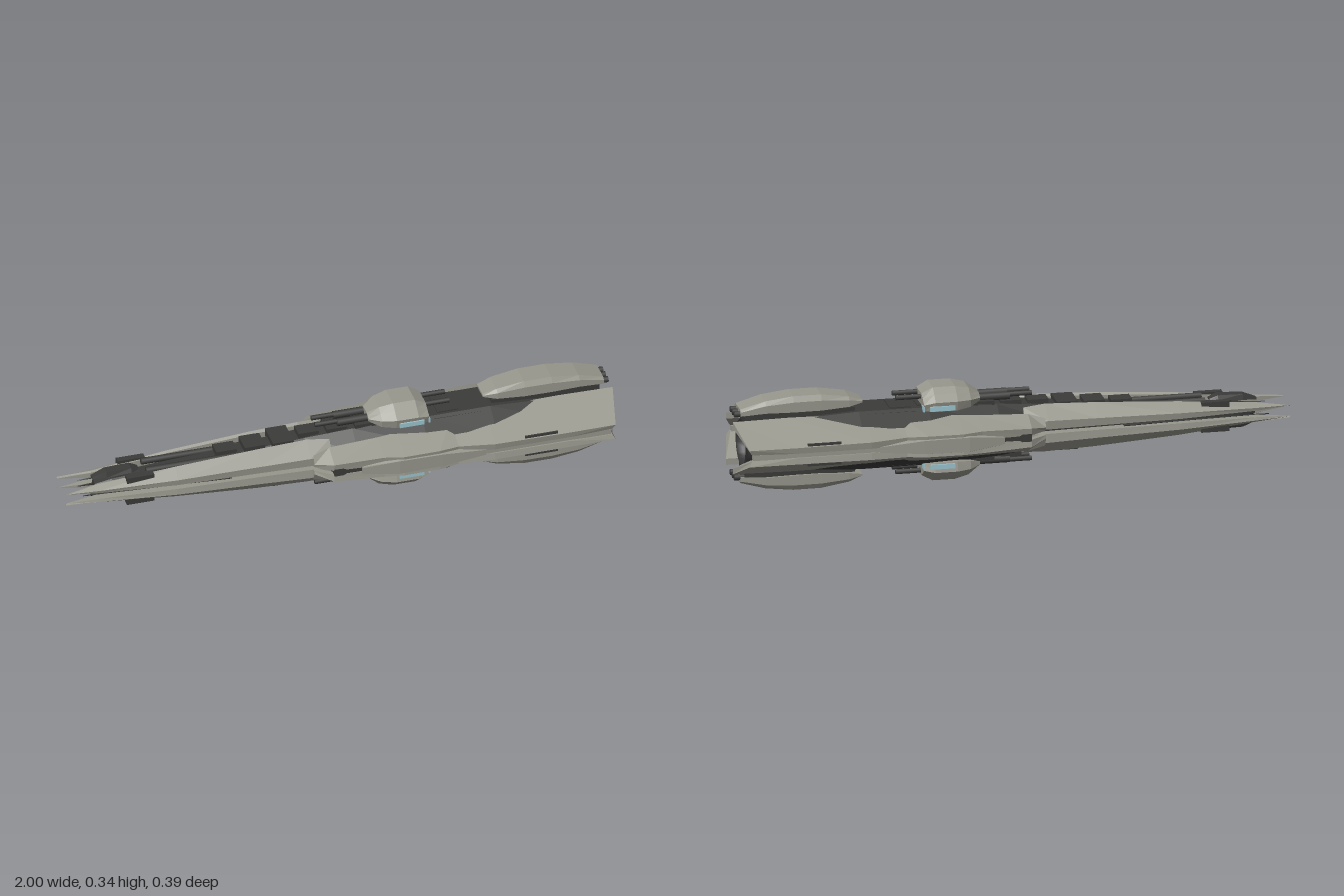
import * as THREE from 'three';

const MID = 0.172; // height of the long axis

// Joins cross-sections along x. Each section is [x, [[v, z, dx], ...]], v measured from the axis.
function loft(sections, sv = 1, sz = 1) {
  const rings = sections.map(([x, pts]) =>
    pts.map(([v, z, dx = 0]) => new THREE.Vector3(x + dx, MID + v * sv, z * sz)));
  const tris = [], n = rings[0].length;
  for (let i = 0; i < rings.length - 1; i++) {
    for (let j = 0; j < n; j++) {
      const a = rings[i], b = rings[i + 1], k = (j + 1) % n;
      tris.push([a[j], b[j], b[k]], [a[j], b[k], a[k]]);
    }
  }
  const first = rings[0], last = rings[rings.length - 1];
  for (let j = 1; j < n - 1; j++) {
    tris.push([first[0], first[j], first[j + 1]], [last[0], last[j + 1], last[j]]);
  }
  // Turn the faces outward whichever way the outline or mirror runs
  const c = new THREE.Vector3();
  rings.flat().forEach(p => c.add(p));
  c.divideScalar(n * rings.length);
  let volume = 0;
  for (const [p, q, r] of tris) {
    volume += p.clone().sub(c).dot(q.clone().sub(c).cross(r.clone().sub(c)));
  }
  const pts = tris.flatMap(([p, q, r]) => (volume < 0 ? [p, r, q] : [p, q, r]));
  const geo = new THREE.BufferGeometry().setFromPoints(pts);
  geo.computeVertexNormals();
  return geo;
}

const mirrorZ = half => [...half, ...half.slice().reverse().map(([v, z, dx]) => [v, -z, dx])];

export function createModel() {
  const model = new THREE.Group();
  model.name = 'spaceship';
  const mat = (name, color) => new THREE.MeshStandardMaterial({ name, color });
  const armour = mat('armour grey', 0x98978d);
  const dark = mat('dark hull', 0x3b3b3a);
  const steel = mat('engine steel', 0x50504f);
  const glass = mat('pale blue glass', 0x9cc6d0);
  const darkOpen = mat('nozzle dark', 0x373737);
  darkOpen.side = THREE.DoubleSide;

  const add = (name, geo, material) => {
    const mesh = new THREE.Mesh(geo, material);
    mesh.name = name;
    model.add(mesh);
    return mesh;
  };
  const box = (name, x0, x1, v0, v1, z0, z1, material) =>
    add(name, new THREE.BoxGeometry(x1 - x0, Math.abs(v1 - v0), Math.abs(z1 - z0)), material)
      .position.set((x0 + x1) / 2, MID + (v0 + v1) / 2, (z0 + z1) / 2);
  const rod = (name, x0, x1, v, z, r, material) => {
    const m = add(name, new THREE.CylinderGeometry(r, r, x1 - x0, 8), material);
    m.rotation.z = Math.PI / 2;
    m.position.set((x0 + x1) / 2, MID + v, z);
  };

  // Dark core: x, half height, half width
  const core = [[-0.88, 0.016, 0.028], [-0.82, 0.03, 0.04], [-0.5, 0.05, 0.055], [-0.12, 0.078, 0.075],
    [0.05, 0.096, 0.115], [0.3, 0.105, 0.15], [0.55, 0.106, 0.15], [0.82, 0.09, 0.14]];
  add('coreHull', loft(core.map(([x, h, w]) => [x, [[h, w * 0.42], [h * 0.45, w], [-h * 0.45, w],
    [-h, w * 0.42], [-h, -w * 0.42], [-h * 0.45, -w], [h * 0.45, -w], [h, -w * 0.42]]])), dark);

  // Blade: x, inner low v, outer high v, top v, inner z, outer z
  const blade = [[-1, 0.019, 0.0205, 0.022, 0.053, 0.056], [-0.88, 0.012, 0.023, 0.036, 0.036, 0.07],
    [-0.6, 0.008, 0.03, 0.062, 0.046, 0.094], [-0.3, 0.008, 0.036, 0.081, 0.05, 0.104],
    [-0.12, 0.008, 0.04, 0.088, 0.05, 0.112], [-0.04, 0.008, 0.035, 0.082, 0.06, 0.11]];
  // Armour: x, outer z, outer v, top v, top z
  const plate = [[-0.11, 0.122, 0.02, 0.05, 0.108], [-0.05, 0.166, 0.034, 0.068, 0.1],
    [0.13, 0.178, 0.04, 0.074, 0.095], [0.2, 0.192, 0.038, 0.078, 0.09], [0.33, 0.19, 0.038, 0.084, 0.085],
    [0.4, 0.178, 0.036, 0.088, 0.075], [0.53, 0.195, 0.032, 0.096, 0.06], [0.8, 0.196, 0.03, 0.099, 0.056]];
  const plateOutline = ([x, zo, vo, vt, zt]) => [x, [[0.008, zo - 0.004], [vo, zo], [vt, zt],
    [vt - 0.025, zt - 0.002], [0.008, zo - 0.026]]];
  const plateEnd = [0.96, [[0.012, 0.188], [0.03, 0.194, 0.01], [0.096, 0.056, 0.04],
    [0.074, 0.056, 0.04], [0.012, 0.168]]];

  for (const sv of [1, -1]) {
    for (const sz of [1, -1]) {
      add('noseBlade', loft(blade.map(([x, vl, vo, vt, zi, zo]) =>
        [x, [[vl, zo - 0.003], [vo, zo], [vt, zi + 0.008], [vt * 0.9, zi], [vl, zi]]]), sv, sz), armour);
      add('sideArmour', loft([...plate.map(plateOutline), plateEnd], sv, sz), armour);
      // Panel gaps beside the inner edge of the armour
      box('hullTrench', 0.34, 0.52, sv * 0.086, sv * 0.098, sz * 0.03, sz * 0.075, dark);
      box('flankVent', 0.64, 0.76, sv * 0.025, sv * 0.041, sz * 0.186, sz * 0.192, dark);
      box('bladeVent', -0.78, -0.68, sv * 0.03, sv * 0.055, sz * 0.045, sz * 0.07, dark);
      // Turret glass
      box('turretSideGlass', 0.21, 0.3, sv * 0.098, sv * 0.115, sz * 0.092, sz * 0.098, glass);
      box('turretRearGlass', 0.318, 0.323, sv * 0.096, sv * 0.115, sz * 0.066, sz * 0.09, glass);
      // Guns
      rod('forwardGun', -0.08, 0.14, sv * 0.12, sz * 0.022, 0.009, dark);
      rod('gunSleeve', 0, 0.14, sv * 0.116, sz * 0.024, 0.014, dark);
      rod('rearGun', 0.3, 0.41, sv * 0.136, sz * 0.028, 0.009, dark);
      rod('spinePipe', -0.7, 0.1, sv * 0.05, sz * 0.03, 0.012, dark);
      // Spikes between the blades
      add('innerSpike', loft([[-0.93, [[0.012, 0.03], [0.014, 0.032], [0.012, 0.034]]],
        [-0.4, [[0.005, 0.03], [0.045, 0.04], [0.005, 0.085]]]], sv, sz), dark);
    }

    // Turret pod
    const turret = [[0.11, 0.5, 0.112, 0.135], [0.15, 0.85, 0.1, 0.16], [0.2, 1, 0.094, 0.171],
      [0.28, 1, 0.094, 0.171], [0.32, 0.92, 0.096, 0.15]];
    add('turretPod', loft(turret.map(([x, w, lo, hi]) => [x, mirrorZ([[lo, 0.088 * w],
      [lo + (hi - lo) * 0.45, 0.096 * w], [lo + (hi - lo) * 0.75, 0.07 * w], [hi, 0.045 * w]])]), sv), armour);
    box('turretBase', 0.12, 0.34, sv * 0.08, sv * 0.104, -0.055, 0.055, dark);

    // Rear fairing: x, low v, high v, half width
    const fairing = [[0.53, 0.132, 0.14, 0.04], [0.58, 0.122, 0.157, 0.051], [0.68, 0.116, 0.172, 0.054],
      [0.78, 0.116, 0.172, 0.055], [0.88, 0.118, 0.16, 0.054], [0.97, 0.112, 0.135, 0.05]];
    add('rearFairing', loft(fairing.map(([x, lo, hi, w]) => [x, mirrorZ([[lo, w],
      [hi - (hi - lo) * 0.35, w], [hi, w * 0.78]])]), sv), armour);
    box('fairingMount', 0.56, 0.955, sv * 0.085, sv * 0.119, -0.047, 0.047, dark);
    for (const z of [-0.032, 0, 0.032]) rod('fairingPipe', 0.9, 0.99, sv * 0.116, z, 0.011, dark);

    // Stepped blocks along the spine
    for (let i = 0; i < 9; i++) {
      const x = -0.44 + i * 0.1, h = 0.075 + 0.034 * Math.min(1, i / 5), w = 0.028 + 0.012 * (i % 3);
      box('spineBlock', x, x + 0.075, sv * (h - 0.03), sv * h, -w, w, dark);
    }

    // Nose antenna pod
    add('noseSensor', loft([[-0.89, mirrorZ([[0.036, 0.012], [0.042, 0.01]])],
      [-0.84, mirrorZ([[0.04, 0.022], [0.06, 0.016]])], [-0.75, mirrorZ([[0.046, 0.026], [0.062, 0.018]])],
      [-0.72, mirrorZ([[0.044, 0.02], [0.05, 0.014]])]], sv), dark);
    box('sensorStalk', -0.8, -0.75, sv * 0.015, sv * 0.05, -0.012, 0.012, dark);
  }

  // Side sponsons over the armour seam, and engine struts
  for (const sz of [1, -1]) {
    add('sideSponson', loft([[0.05, [[0.012, 0.17], [0.012, 0.178], [-0.012, 0.178], [-0.012, 0.17]]],
      [0.18, [[0.036, 0.17], [0.026, 0.195], [-0.026, 0.195], [-0.036, 0.17]]],
      [0.34, [[0.034, 0.165], [0.024, 0.194], [-0.024, 0.194], [-0.034, 0.165]]],
      [0.5, [[0.01, 0.165], [0.01, 0.188], [-0.01, 0.188], [-0.01, 0.165]]]], 1, sz), armour);
    box('seamStrip', -0.05, 0.94, -0.014, 0.014, sz * 0.1, sz * 0.165, dark);
    box('seamTrim', 0.5, 0.955, -0.01, 0.01, sz * 0.166, sz * 0.186, armour);
    box('engineStrut', 0.8, 0.93, -0.022, 0.022, sz * 0.085, sz * 0.16, dark);
  }

  // Engine nozzle
  const profile = [[0.07, 0], [0.066, 0.1], [0.07, 0.15], [0.08, 0.17], [0.092, 0.16], [0.09, 0]]
    .map(([r, h]) => new THREE.Vector2(r, h));
  const nozzle = add('engineNozzle', new THREE.LatheGeometry(profile, 24), darkOpen);
  nozzle.rotation.z = -Math.PI / 2;
  nozzle.position.set(0.79, MID, 0);
  const disc = add('engineDisc', new THREE.ConeGeometry(0.069, 0.03, 16), steel);
  disc.rotation.z = -Math.PI / 2;
  disc.position.set(0.85, MID, 0);

  return model;
}
